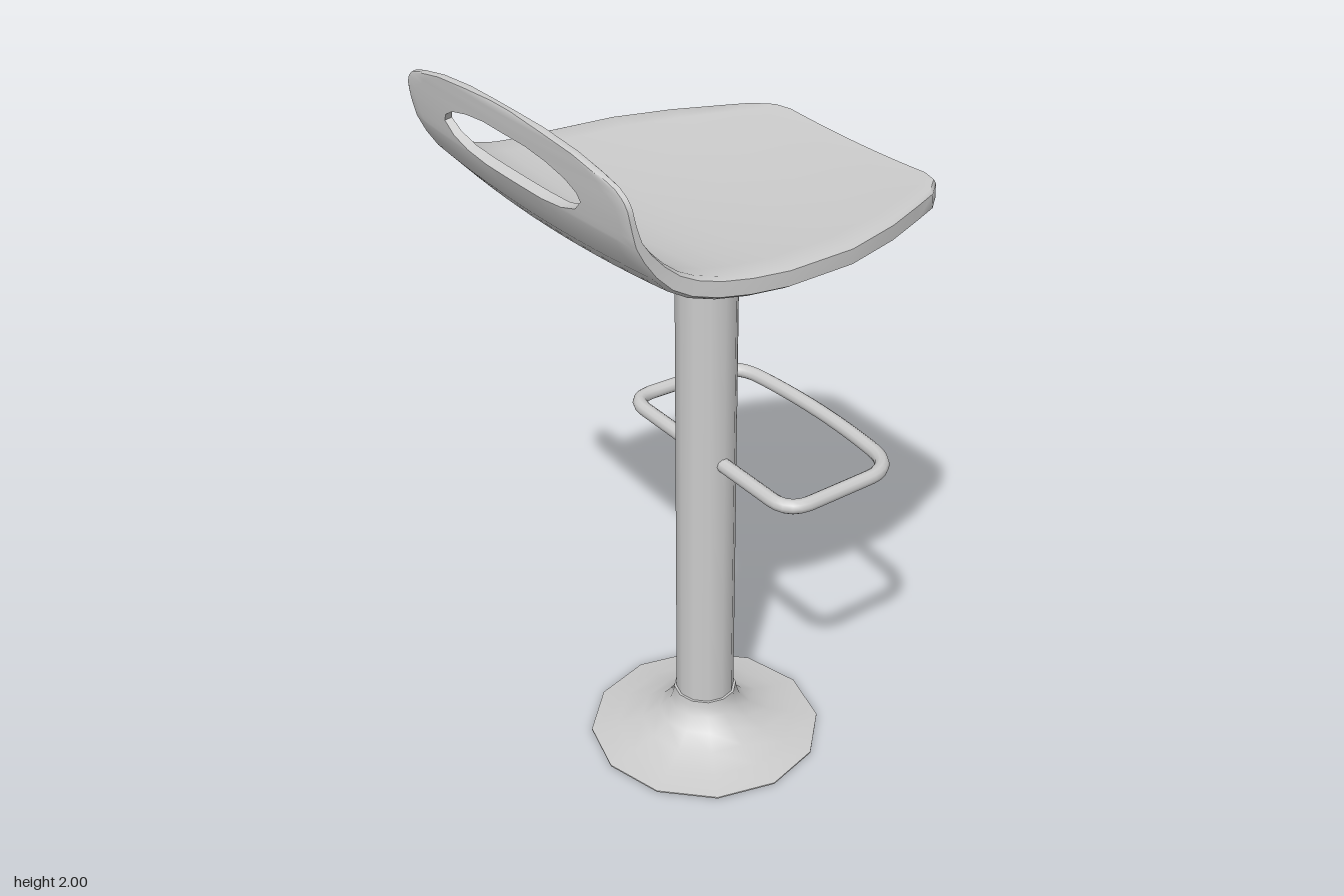
import * as THREE from 'three';
import { toCreasedNormals } from 'three/addons/utils/BufferGeometryUtils.js';

const AXIS_Z = -0.045; // column axis
const SIDES = 12;

// Seat cross-rows from the open edge to the top of the backrest: [z, y, half width]
const SEAT = [
  [-0.52, 1.645, 0.2], [-0.515, 1.645, 0.27], [-0.5, 1.644, 0.32], [-0.45, 1.642, 0.365],
  [-0.37, 1.64, 0.4], [-0.25, 1.637, 0.45], [-0.09, 1.634, 0.495], [0.1, 1.636, 0.505],
  [0.2, 1.643, 0.497], [0.28, 1.655, 0.487], [0.345, 1.674, 0.478], [0.395, 1.702, 0.473],
  [0.435, 1.742, 0.47], [0.465, 1.785, 0.47],
];
// Backrest rows around the hand slot: [z, y, half width, slot half width]
const SLOT = [
  [0.484, 1.822, 0.47, 0.12], [0.486, 1.828, 0.47, 0.2], [0.49, 1.845, 0.47, 0.26],
  [0.496, 1.872, 0.47, 0.29], [0.499, 1.89, 0.469, 0.28], [0.502, 1.91, 0.467, 0.24],
  [0.504, 1.926, 0.459, 0.17], [0.505, 1.935, 0.451, 0.09],
];
const TOP = [
  [0.507, 1.95, 0.43], [0.509, 1.965, 0.38], [0.51, 1.982, 0.29],
  [0.512, 1.995, 0.16], [0.512, 2.0, 0.04],
];

// Dished, bent shell with a slot: two offset skins joined by a rim
function seatGeometry() {
  const rows = [...SEAT, ...SLOT, ...TOP];
  const slot0 = SEAT.length, slot1 = SEAT.length + SLOT.length - 1;
  const side = [1, 0.96, 0.8, 0.6, 0.4, 0.2, 0]; // 1 = outer edge, 0 = slot edge
  const mid = 6;
  const cols = side.length * 2 + mid - 1;
  const n = rows.length * cols;
  const pos = new Float32Array(n * 6);

  rows.forEach(([z, y, w, slot], i) => {
    const a = slot ?? Math.min(0.12, w * 0.5);
    const p = rows[Math.max(i - 1, 0)], q = rows[Math.min(i + 1, rows.length - 1)];
    const len = Math.hypot(q[0] - p[0], q[1] - p[1]);
    const ny = (q[0] - p[0]) / len, nz = -(q[1] - p[1]) / len;
    const thick = THREE.MathUtils.lerp(0.054, 0.018, THREE.MathUtils.smoothstep(y, 1.635, 1.9));
    const dish = THREE.MathUtils.lerp(0.025, 0.01, THREE.MathUtils.smoothstep(y, 1.66, 1.9));
    for (let j = 0; j < cols; j++) {
      const k = Math.min(j, cols - 1 - j);
      const x = k < side.length
        ? Math.sign(j - cols / 2 + 0.5) * (a + (w - a) * side[k])
        : a * (2 * (j - side.length + 1) / mid - 1);
      const rim = j === 0 || j === cols - 1 || i === 0 || i === rows.length - 1;
      const lift = dish * (x / 0.5) ** 2;
      [1, -1].forEach((s, skin) => {
        const d = lift + s * thick * (rim ? 0.35 : 0.5);
        pos.set([x, y + ny * d, z + nz * d], (skin * n + i * cols + j) * 3);
      });
    }
  });

  const index = [], edges = new Map();
  const quad = (a, b, c, d) => index.push(a, b, c, a, c, d);
  for (let i = 0; i < rows.length - 1; i++) {
    for (let j = 0; j < cols - 1; j++) {
      const inSlot = i >= slot0 && i < slot1 && j >= side.length - 1 && j < side.length - 1 + mid;
      if (inSlot) continue;
      const c = [i * cols + j, (i + 1) * cols + j, (i + 1) * cols + j + 1, i * cols + j + 1];
      quad(...c);
      quad(...c.map((v) => v + n).reverse());
      c.forEach((v, k) => edges.set(`${v},${c[(k + 1) % 4]}`, [v, c[(k + 1) % 4]]));
    }
  }
  // Rim along every open edge, including the slot
  for (const [a, b] of edges.values()) {
    if (!edges.has(`${b},${a}`)) quad(b, a, a + n, b + n);
  }
  const g = new THREE.BufferGeometry();
  g.setAttribute('position', new THREE.BufferAttribute(pos, 3));
  g.setIndex(index);
  return toCreasedNormals(g, 0.8);
}

// Open loop leaving the column on one side and returning on the other
function footrestGeometry() {
  const v = (x, z) => new THREE.Vector3(x, 0, z);
  const path = new THREE.CurvePath();
  const line = (a, b) => path.add(new THREE.LineCurve3(a, b));
  const bend = (a, b, c) => path.add(new THREE.QuadraticBezierCurve3(a, b, c));
  line(v(0.05, 0), v(0.28, 0));
  bend(v(0.28, 0), v(0.35, 0), v(0.35, -0.07));
  line(v(0.35, -0.07), v(0.345, -0.27));
  bend(v(0.345, -0.27), v(0.34, -0.35), v(0.25, -0.365));
  bend(v(0.25, -0.365), v(0, -0.395), v(-0.25, -0.365));
  bend(v(-0.25, -0.365), v(-0.34, -0.35), v(-0.345, -0.27));
  line(v(-0.345, -0.27), v(-0.35, -0.07));
  bend(v(-0.35, -0.07), v(-0.35, 0), v(-0.28, 0));
  line(v(-0.28, 0), v(-0.05, 0));
  return new THREE.TubeGeometry(path, 96, 0.02, 10, false);
}

export function createModel() {
  const model = new THREE.Group();
  const material = new THREE.MeshStandardMaterial({ color: 0xcccccc });
  const add = (name, geometry, y = 0, z = AXIS_Z) => {
    const mesh = new THREE.Mesh(geometry, material);
    mesh.name = name;
    mesh.position.set(0, y, z);
    model.add(mesh);
  };

  // Flared trumpet foot with a flat underside
  const flare = [
    [0, 0], [0.325, 0], [0.325, 0.004], [0.25, 0.016], [0.18, 0.038], [0.13, 0.066],
    [0.1, 0.098], [0.09, 0.125], [0.088, 0.142], [0.07, 0.142],
  ].map(([r, y]) => new THREE.Vector2(r, y));
  const base = new THREE.LatheGeometry(flare, SIDES);
  add('base', toCreasedNormals(base, 0.7));

  add('column', new THREE.CylinderGeometry(0.081, 0.081, 1.48, SIDES), 0.86);
  add('footrest', footrestGeometry(), 0.91);
  add('mountingPlate', new THREE.CylinderGeometry(0.325, 0.325, 0.018, SIDES), 1.606);
  add('seat', seatGeometry(), 0, 0);
  return model;
}
